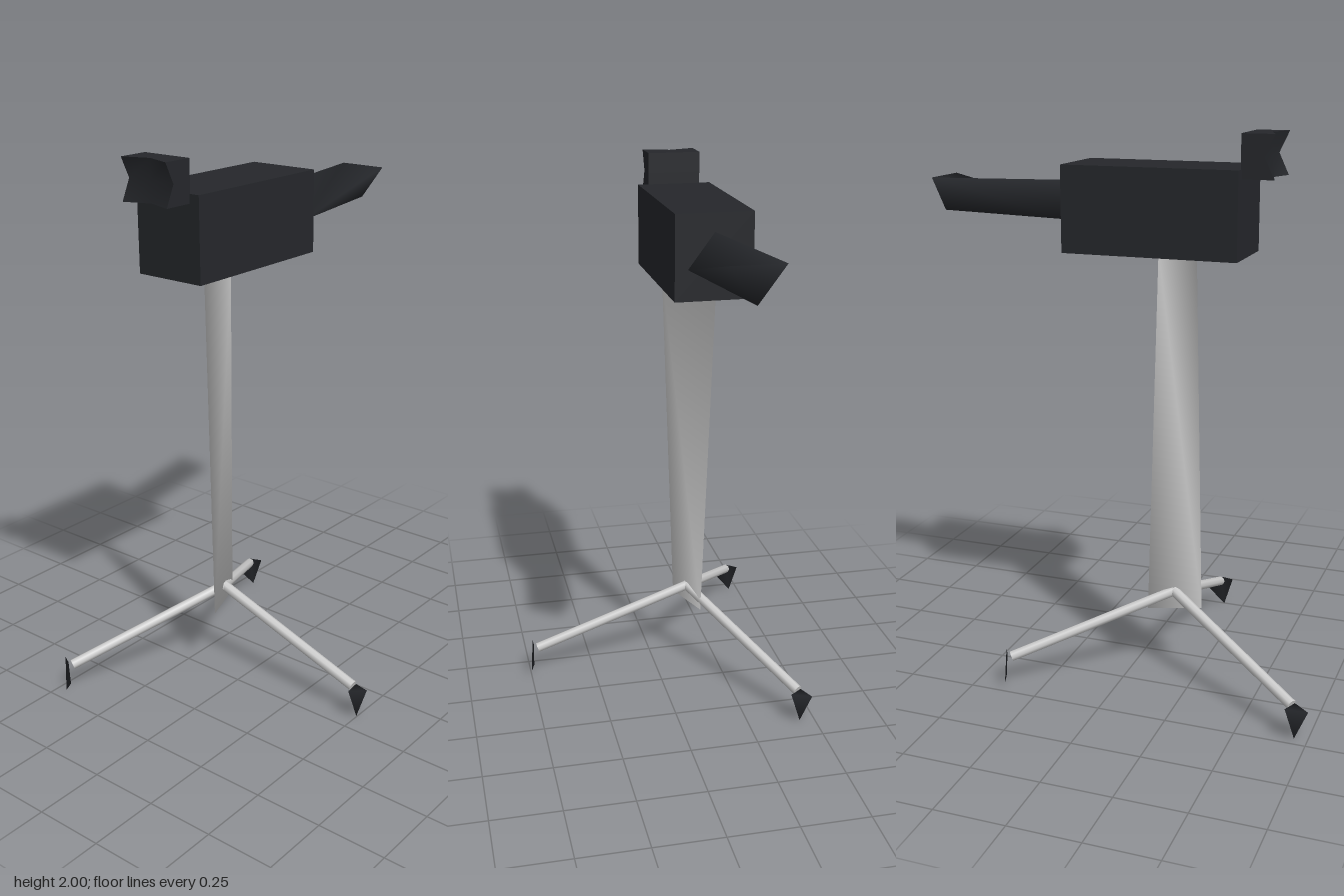
import * as THREE from 'three';
import { ConvexGeometry } from 'three/addons/geometries/ConvexGeometry.js';
import { mergeVertices } from 'three/addons/utils/BufferGeometryUtils.js';

const metal = new THREE.MeshStandardMaterial({ color: 0xcccccc, side: THREE.DoubleSide });
const dark = new THREE.MeshStandardMaterial({ color: 0x25272b, side: THREE.DoubleSide });

function add(parent, name, geometry, material) {
  const mesh = new THREE.Mesh(geometry, material);
  mesh.name = name;
  parent.add(mesh);
  return mesh;
}

// Convex solid through a few corner points, with shared smooth normals
function hull(points) {
  const g = new ConvexGeometry(points.map((p) => new THREE.Vector3(...p)));
  g.deleteAttribute('normal');
  const smooth = mergeVertices(g);
  smooth.computeVertexNormals();
  return smooth;
}

// Tube body: triangle pointing up at the near end, down at the far end
function twistedBarrel(x0, x1, y0, y1, z0, z1) {
  const xm = (x0 + x1) / 2;
  const g = new THREE.BufferGeometry();
  g.setAttribute('position', new THREE.Float32BufferAttribute([
    x0, y0, z0, x1, y0, z0, xm, y1, z0,
    x1, y1, z1, x0, y1, z1, xm, y0, z1,
  ], 3));
  g.setIndex([0, 2, 4, 4, 2, 1, 4, 1, 3, 0, 4, 5, 0, 5, 1, 1, 5, 3, 3, 5, 4, 0, 1, 2]);
  g.computeVertexNormals();
  return g;
}

export function createModel() {
  const model = new THREE.Group();
  model.name = 'cameraOnTripod';

  // Camera body
  add(model, 'body', new THREE.BoxGeometry(0.275, 0.3, 0.625), dark)
    .position.set(-0.137, 1.735, 0.103);

  // Lens barrel at the back
  add(model, 'lens', twistedBarrel(-0.23, -0.045, 1.695, 1.82, -0.21, -0.725), dark);

  // Eyepiece: box whose front edges are notched between the corners
  const eye = new THREE.BoxGeometry(0.195, 0.147, 0.113, 2, 2, 1);
  const p = eye.attributes.position;
  for (let i = 0; i < p.count; i++) {
    const corner = Math.abs(p.getX(i)) > 0.05 && Math.abs(p.getY(i)) > 0.05;
    if (p.getZ(i) > 0 && !corner) p.setZ(i, 0.022);
  }
  eye.computeVertexNormals();
  add(model, 'eyepiece', eye, dark).position.set(-0.137, 1.9265, 0.468);

  // Column: blade edge across at the top, turning lengthwise at the bottom
  add(model, 'column', hull([
    [-0.235, 1.6, 0.13], [-0.045, 1.6, 0.205],
    [-0.172, 0.255, 0.07], [-0.103, 0.255, 0.257],
  ]), metal);

  // Three legs with pointed feet
  for (let i = 0; i < 3; i++) {
    const leg = new THREE.Group();
    leg.name = 'leg' + (i + 1);
    leg.position.set(-0.137, 0, 0.16);
    leg.rotation.y = (i * Math.PI * 2) / 3;

    const start = new THREE.Vector3(0, 0.325, 0);
    const end = new THREE.Vector3(0.607, 0.112, 0);
    const dir = end.clone().sub(start);
    const rod = add(leg, 'legRod', new THREE.CylinderGeometry(0.019, 0.019, dir.length(), 8), metal);
    rod.position.copy(start).add(end).multiplyScalar(0.5);
    rod.quaternion.setFromUnitVectors(new THREE.Vector3(0, 1, 0), dir.normalize());

    add(leg, 'foot', hull([
      [0.622, 0.12, 0.05], [0.622, 0.125, 0],
      [0.63, 0.07, -0.06], [0.634, 0, 0.012],
    ]), dark);
    model.add(leg);
  }
  return model;
}
